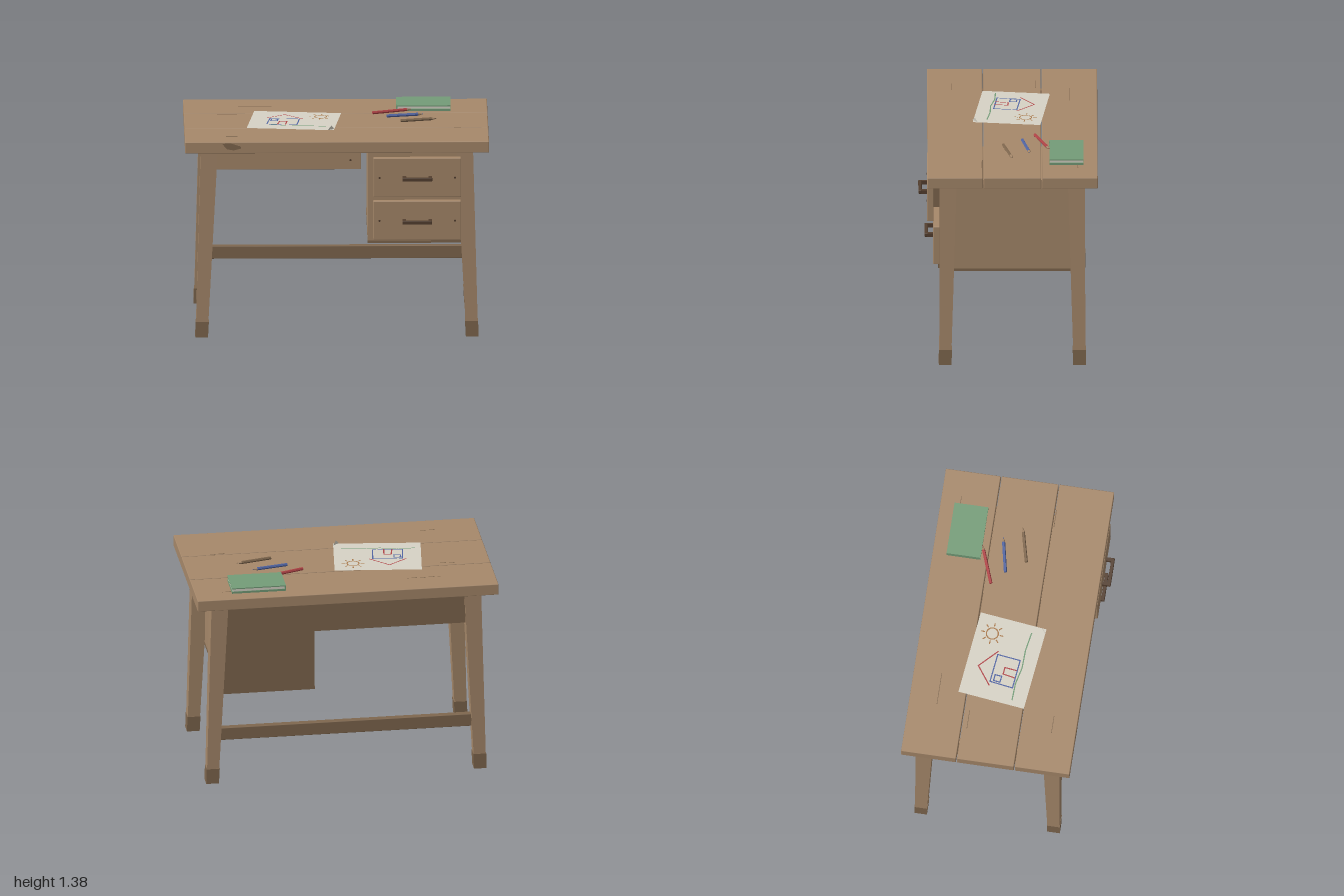
import * as THREE from 'three';
import { RoundedBoxGeometry } from 'three/addons/geometries/RoundedBoxGeometry.js';
import { mergeGeometries } from 'three/addons/utils/BufferGeometryUtils.js';

const material = (name, color, side = THREE.FrontSide) => {
  const m = new THREE.MeshStandardMaterial({ color, side });
  m.name = name;
  return m;
};
const WOOD = material('wood', 0xa6886a);
const DARK = material('darkWood', 0x7f674e);
const IRON = material('darkBrown', 0x543f2f);
const PAPER = material('paper', 0xd6d2c5, THREE.DoubleSide);
const GREEN = material('green', 0x749c78);
const RED = material('red', 0xb04346);
const BLUE = material('blue', 0x5064a2);
const OCHRE = material('ochre', 0xa8784a);

const TOP = 1.345;   // desk surface
const LEG_Z = -0.028; // centre of the base in z

export function createModel() {
  const desk = new THREE.Group();
  desk.name = 'desk';

  const add = (name, geometry, mat, parent = desk) => {
    const mesh = new THREE.Mesh(geometry, mat);
    mesh.name = name;
    parent.add(mesh);
    return mesh;
  };
  // Box given by its extents on each axis, optionally with bevelled edges
  const block = (name, [x0, x1], [y0, y1], [z0, z1], mat, bevel = 0, parent = desk) => {
    const size = [x1 - x0, y1 - y0, z1 - z0];
    const g = bevel ? new RoundedBoxGeometry(...size, 1, bevel) : new THREE.BoxGeometry(...size);
    g.translate((x0 + x1) / 2, (y0 + y1) / 2, (z0 + z1) / 2);
    return add(name, g, mat, parent);
  };

  // Table top: three planks with narrow gaps
  [[0.166, 0.53], [-0.218, 0.16], [-0.59, -0.225]].forEach((z, i) =>
    block(`topPlank${i + 1}`, [-1, 1], [1.269, TOP], z, WOOD, 0.005));

  // Scratches in the planks
  [[-0.64, -0.42, -0.405], [-0.78, -0.65, -0.185], [-0.73, -0.61, 0.37], [0.7, 0.82, 0.173], [0.75, 0.82, -0.46]]
    .forEach(([x0, x1, z]) => block('scratch', [x0, x1], [TOP - 0.001, TOP + 0.0006], [z - 0.002, z + 0.002], DARK));

  // Worn patch on the front edge
  const patch = new THREE.Shape([[-0.755, 1.335], [-0.70, 1.338], [-0.635, 1.317], [-0.63, 1.303],
    [-0.68, 1.29], [-0.725, 1.298], [-0.74, 1.315]].map(p => new THREE.Vector2(...p)));
  add('wornPatch', new THREE.ShapeGeometry(patch), DARK).position.z = 0.5315;

  // Splayed, tapering legs with dark feet
  const legPiece = (y0, y1, sx, sz, grow) => {
    const g = new THREE.BoxGeometry(2, 1, 2);
    const p = g.attributes.position;
    for (let i = 0; i < p.count; i++) {
      const y = p.getY(i) > 0 ? y1 : y0, t = y / 1.27;
      const half = THREE.MathUtils.lerp(0.039, 0.056, t) + grow;
      p.setXYZ(i,
        sx * THREE.MathUtils.lerp(0.89, 0.84, t) + p.getX(i) * half, y,
        LEG_Z + sz * THREE.MathUtils.lerp(0.442, 0.422, t) + p.getZ(i) * half);
    }
    g.computeVertexNormals();
    return g;
  };
  for (const sx of [-1, 1]) for (const sz of [-1, 1]) {
    const name = `${sz > 0 ? 'front' : 'back'}${sx > 0 ? 'Left' : 'Right'}`;
    add(`${name}Leg`, legPiece(0.09, 1.27, sx, sz, 0), WOOD);
    add(`${name}Foot`, legPiece(0, 0.104, sx, sz, 0.003), DARK);
  }

  // Aprons, rail and stretcher
  block('backApron', [-0.82, 0.82], [1.04, 1.26], [-0.488, -0.45], DARK);
  block('sideApron', [-0.86, -0.825], [1.04, 1.26], [-0.41, 0.36], WOOD);
  block('frontApron', [-0.82, 0.16], [1.13, 1.253], [0.39, 0.42], WOOD, 0.004);
  block('frontRail', [-0.78, 0.78], [1.253, 1.27], [0.385, 0.415], DARK);
  block('stretcher', [-0.86, 0.86], [0.298, 0.384], [-0.49, -0.445], DARK, 0.004);

  // Drawer cabinet, set back behind the drawer fronts
  block('cabinetBody', [0.205, 0.815], [0.637, 1.26], [-0.468, 0.383], WOOD);
  block('cabinetBottom', [0.203, 0.817], [0.62, 0.637], [-0.475, 0.385], DARK);
  block('cabinetBack', [0.207, 0.813], [0.637, 1.258], [-0.475, -0.468], DARK);

  const stud = (x, y, z, parent) => {
    const g = new THREE.CylinderGeometry(0.007, 0.007, 0.006, 8).rotateX(Math.PI / 2);
    add('stud', g, IRON, parent).position.set(x, y, z);
  };
  stud(0.09, 1.193, 0.42, desk);

  // Drawers: the upper one stands slightly open
  const drawer = (name, y, z) => {
    const g = new THREE.Group();
    g.name = name;
    g.position.set(0.528, y, z);
    block('drawerFront', [-0.289, 0.289], [-0.133, 0.133], [0, 0.044], WOOD, 0.006, g);
    block('drawerBox', [-0.265, 0.265], [-0.04, 0.123], [-0.16, 0.002], DARK, 0, g);
    for (const s of [-1, 1]) {
      stud(s * 0.248, 0, 0.044, g);
      block('handlePost', [s * 0.085 - 0.012, s * 0.085 + 0.012], [-0.012, 0.012], [0.04, 0.084], IRON, 0, g);
    }
    block('handleBar', [-0.098, 0.098], [-0.013, 0.013], [0.078, 0.101], IRON, 0.005, g);
    desk.add(g);
  };
  drawer('upperDrawer', 1.101, 0.489);
  drawer('lowerDrawer', 0.798, 0.448);

  // Sheet of paper with one lifted corner
  const sheet = new THREE.Shape([[-0.535, -0.278], [0.036, -0.214], [-0.018, 0.231], [-0.59, 0.165]]
    .map(([x, z]) => new THREE.Vector2(x, -z)));
  add('paperSheet', new THREE.ShapeGeometry(sheet).rotateX(-Math.PI / 2), PAPER).position.y = TOP + 0.002;
  const corner = new THREE.BufferGeometry().setFromPoints([
    new THREE.Vector3(-0.058, 1.3475, 0.232), new THREE.Vector3(-0.014, 1.3475, 0.198), new THREE.Vector3(-0.034, 1.375, 0.217)]);
  corner.computeVertexNormals();
  add('paperCorner', corner, PAPER);

  // Crayon strokes: flat strips laid along a path of x, z points
  const stroke = (name, pts, mat, closed = false) => {
    const path = closed ? [...pts, pts[0]] : pts;
    const strips = path.slice(1).map(([x1, z1], i) => {
      const [x0, z0] = path[i];
      return new THREE.PlaneGeometry(Math.hypot(x1 - x0, z1 - z0) + 0.005, 0.008)
        .rotateX(-Math.PI / 2)
        .rotateY(-Math.atan2(z1 - z0, x1 - x0))
        .translate((x0 + x1) / 2, TOP + 0.0035, (z0 + z1) / 2);
    });
    add(name, mergeGeometries(strips), mat);
  };
  stroke('drawnRoof', [[-0.46, -0.085], [-0.335, -0.175], [-0.218, -0.06]], RED);
  stroke('drawnWalls', [[-0.433, -0.083], [-0.24, -0.06], [-0.26, 0.092], [-0.457, 0.07]], BLUE, true);
  stroke('drawnWindow', [[-0.423, -0.061], [-0.382, -0.056], [-0.387, -0.012], [-0.43, -0.018]], BLUE, true);
  stroke('drawnDoor', [[-0.387, 0.08], [-0.37, -0.005], [-0.323, 0], [-0.334, 0.086]], RED);
  stroke('drawnGround', [[-0.54, 0.08], [-0.425, 0.085], [-0.31, 0.112], [-0.185, 0.116], [-0.06, 0.138]], GREEN);
  const sunPoint = (a, r) => [-0.1 + r * Math.cos(a), -0.117 + r * Math.sin(a)];
  const turns = n => Array.from({ length: n }, (_, i) => 0.12 + i * Math.PI * 2 / n);
  stroke('drawnSun', turns(12).map(a => sunPoint(a, 0.04)), OCHRE, true);
  turns(8).forEach(a => stroke('drawnSunRay', [sunPoint(a, 0.053), sunPoint(a, 0.072)], OCHRE));

  // Hexagonal pencils, pointed at the second end
  const pencil = (name, [x0, z0], [x1, z1], mat) => {
    const g = new THREE.Group(), length = Math.hypot(x1 - x0, z1 - z0), r = 0.0105, tip = 0.035;
    g.name = name;
    g.position.set(x0, TOP + 0.013, z0);
    g.rotation.y = -Math.atan2(z1 - z0, x1 - x0);
    const part = (label, rTop, rBottom, start, end, m) => add(label,
      new THREE.CylinderGeometry(rTop, rBottom, end - start, 6).toNonIndexed()
        .rotateZ(-Math.PI / 2).translate((start + end) / 2, 0, 0), m, g).geometry.computeVertexNormals();
    part('pencilShaft', r, r, 0, length - tip, mat);
    part('pencilCone', r * 0.35, r, length - tip, length - 0.01, WOOD);
    part('pencilPoint', 0.0005, r * 0.35, length - 0.01, length, mat);
    desk.add(g);
  };
  pencil('redPencil', [0.243, -0.178], [0.5, -0.272], RED);
  pencil('bluePencil', [0.335, -0.095], [0.575, -0.145], BLUE);
  pencil('brownPencil', [0.425, 0.03], [0.662, -0.028], DARK);

  // Book: two covers, a spine and the pages between
  const bookX = [0.4, 0.758], bookZ = [-0.497, -0.272];
  block('bookLowerCover', bookX, [TOP, TOP + 0.014], bookZ, GREEN);
  block('bookPages', [0.408, 0.754], [TOP + 0.014, TOP + 0.031], [-0.493, -0.276], PAPER);
  block('bookUpperCover', bookX, [TOP + 0.031, TOP + 0.038], bookZ, GREEN);
  block('bookSpine', [0.4, 0.408], [TOP + 0.014, TOP + 0.031], bookZ, GREEN);

  return desk;
}
